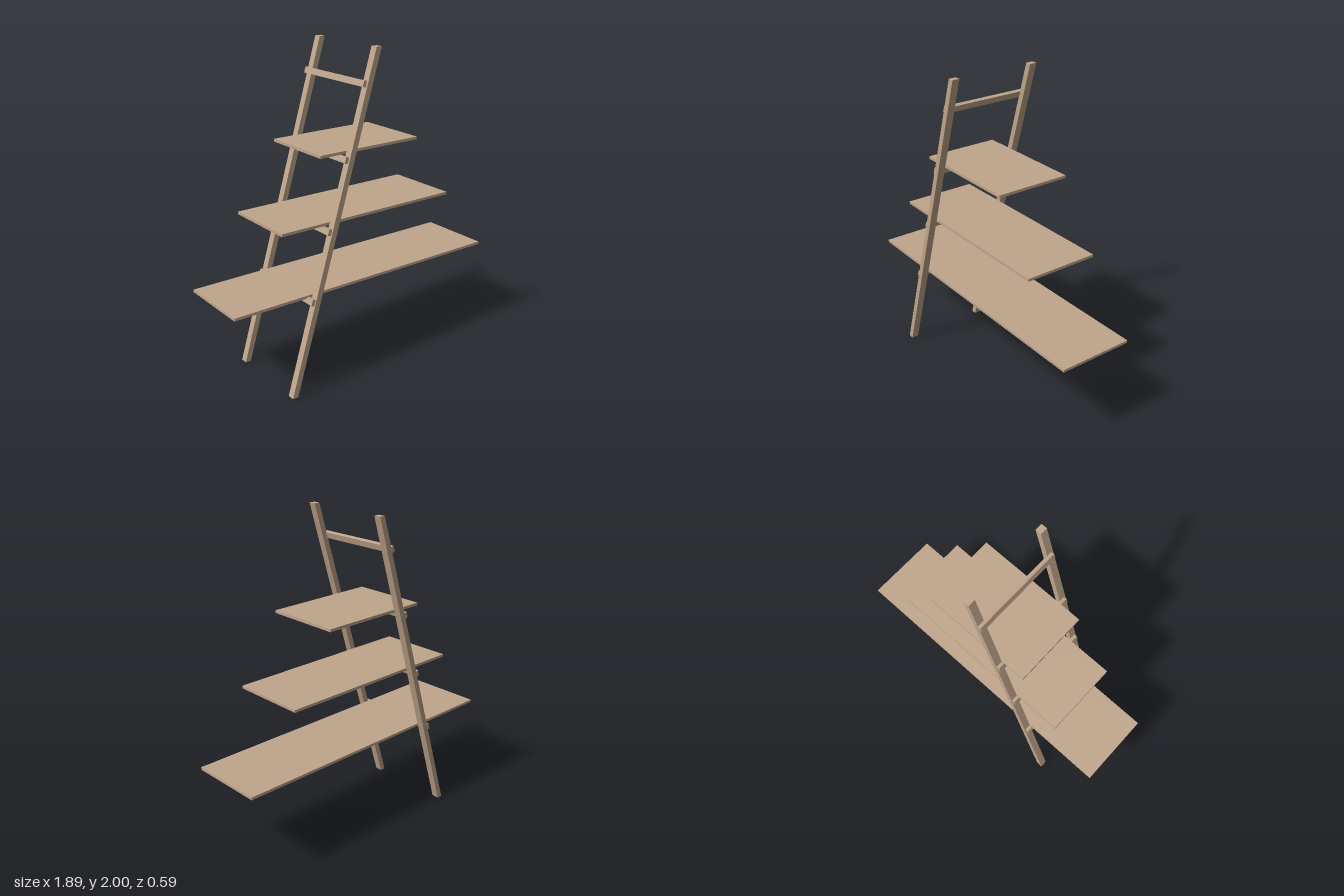
import * as THREE from 'three';

const LEAN = 0.298; // sideways run of the rails per unit of height
const railEdge = (y) => -0.616 + LEAN * y; // outer face of the rails

export function createModel() {
  const group = new THREE.Group();
  const wood = new THREE.MeshStandardMaterial({ color: 0xc0a58b });
  wood.name = 'lightWood';

  const add = (name, geometry) => {
    const mesh = new THREE.Mesh(geometry, wood);
    mesh.name = name;
    group.add(mesh);
    return mesh;
  };

  // Extrude an outline in x/y, centred on z
  const slab = (points, depth) => new THREE.ExtrudeGeometry(
    new THREE.Shape(points.map(([x, y]) => new THREE.Vector2(x, y))),
    { depth, bevelEnabled: false },
  ).translate(0, 0, -depth / 2);

  // Leaning rails, cut level at floor and top, with a very slight drift in z
  const outline = [
    [railEdge(0), 0], [railEdge(0) + 0.037, 0],
    [railEdge(2) + 0.037, 2], [railEdge(2), 2],
  ];
  for (const [name, z] of [['frontRail', 0.267], ['backRail', -0.27]]) {
    const shear = new THREE.Matrix4().set(
      1, 0, 0, 0,
      0, 1, 0, 0,
      0, 0.004, 1, z,
      0, 0, 0, 1,
    );
    const geometry = slab(outline, 0.046).applyMatrix4(shear);
    geometry.computeVertexNormals();
    add(name, geometry);
  }

  // Rungs fixed along the outer face of the rails, tilted with them
  [0.572, 0.977, 1.382, 1.8].forEach((y, i) => {
    const rung = add('rung' + (i + 1), new THREE.BoxGeometry(0.024, 0.038, 0.57));
    rung.position.set(railEdge(y) - 0.009, y, 0);
    rung.rotation.z = -Math.atan(LEAN);
  });

  // Shelves, shorter towards the top
  [[0.592, 1.888], [1.01, 1.246], [1.413, 0.714]].forEach(([y, width], i) => {
    const shelf = add('shelf' + (i + 1), new THREE.BoxGeometry(width, 0.017, 0.475));
    shelf.position.set(-0.002, y, -0.007);
  });

  return group;
}
